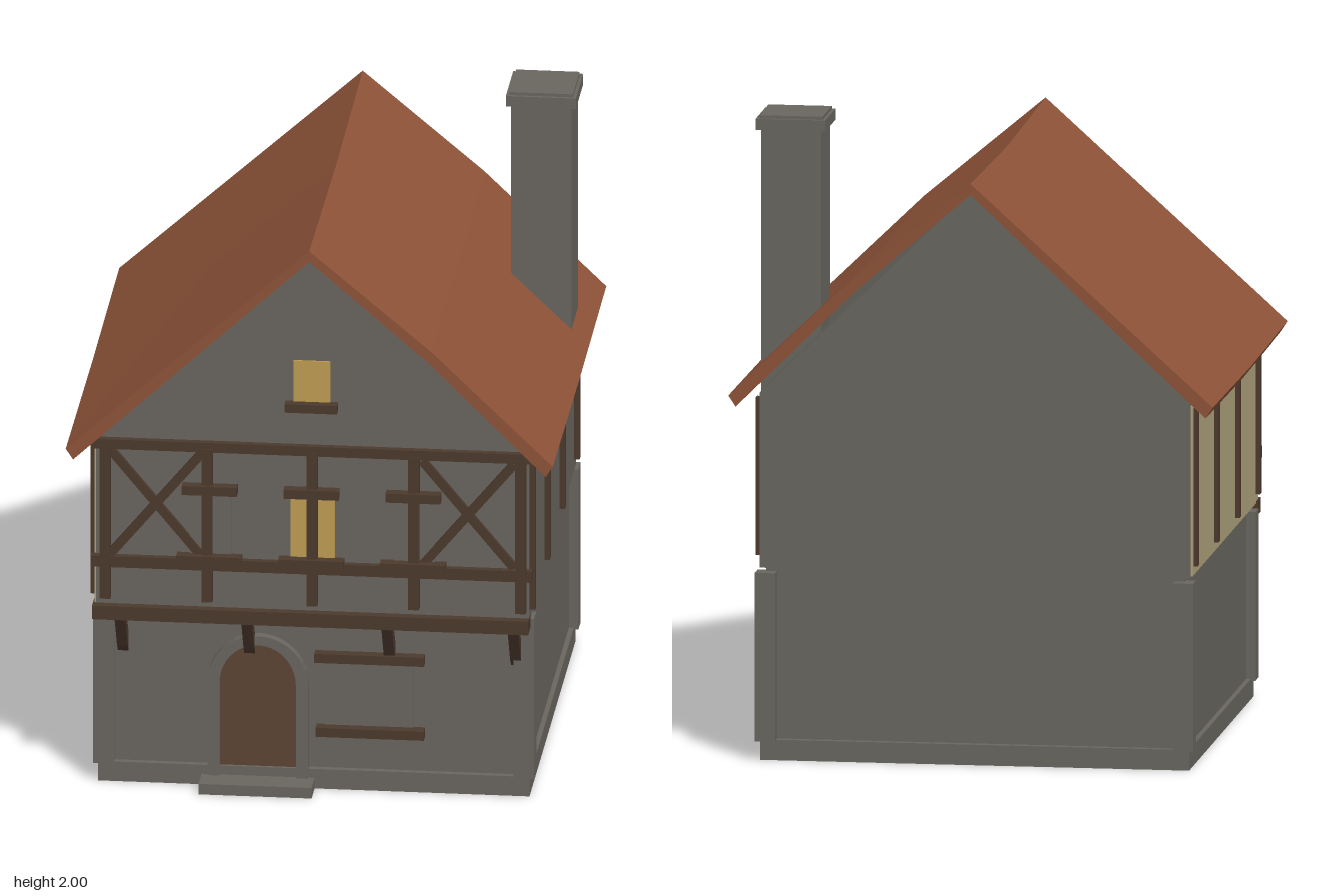
import * as THREE from 'three';

const mat = (name, color) => {
  const m = new THREE.MeshStandardMaterial({ color });
  m.name = name;
  return m;
};

export function createModel() {
  const house = new THREE.Group();
  house.name = 'house';
  const stone = mat('stone', 0x69665f);
  const timber = mat('timber', 0x4c392d);
  const doorWood = mat('doorWood', 0x5c4534);
  const tile = mat('roofTile', 0x8e5338);
  const plaster = mat('plaster', 0xaea17c);
  const glow = mat('windowLight', 0xc09c52);

  const add = (name, geo, material) => {
    const m = new THREE.Mesh(geo, material);
    m.name = name;
    house.add(m);
    return m;
  };
  // Box given by its min and max on each axis
  const box = (name, material, x0, x1, y0, y1, z0, z1) => {
    const m = add(name, new THREE.BoxGeometry(x1 - x0, y1 - y0, z1 - z0), material);
    m.position.set((x0 + x1) / 2, (y0 + y1) / 2, (z0 + z1) / 2);
    return m;
  };
  const extrude = (shape, depth) =>
    new THREE.ExtrudeGeometry(shape, { depth, bevelEnabled: false, curveSegments: 10 });

  // Ground floor: plinth, walls and corner stones
  box('plinth', stone, -0.68, 0.675, 0, 0.065, -0.73, 0.64);
  box('groundFloor', stone, -0.665, 0.66, 0.065, 0.61, -0.705, 0.62);
  for (const x of [-0.695, 0.625])
    for (const z of [-0.745, 0.58])
      box('cornerStone', stone, x, x + 0.065, 0.06, 0.595, z, z + 0.065);

  // Overhanging upper floor with its gables
  const gable = new THREE.Shape([
    [-0.68, 0.605], [0.68, 0.605], [0.68, 1.16], [0, 1.825], [-0.68, 1.16],
  ].map(p => new THREE.Vector2(...p)));
  add('upperFloor', extrude(gable, 1.405), stone).position.z = -0.705;
  box('plasterPanel', plaster, -0.686, -0.68, 0.61, 1.15, -0.70, 0.695);

  // Roof slopes: slightly sagging along the ridge, the right one bowed
  for (const s of [-1, 1]) {
    const g = new THREE.BoxGeometry(1, 1, 1.6, 2, 1, 2);
    g.translate(s * 0.5, 0, 0);
    const p = g.attributes.position;
    for (let i = 0; i < p.count; i++) {
      const u = Math.abs(p.getX(i)), low = p.getY(i) < 0, z = p.getZ(i);
      const bow = s > 0 ? 0.024 : 0;
      let y = 1.855 - 0.69 * u + bow * (1 - Math.abs(2 * u - 1));
      y -= (0.015 - 0.007 * u) * (1 - Math.abs(z) / 0.8);
      p.setXY(i, s * u * (low ? 0.742 : 0.765), low ? y - 0.035 : y);
    }
    const flat = g.toNonIndexed();
    flat.computeVertexNormals();
    add(s < 0 ? 'roofRight' : 'roofLeft', flat, tile);
  }

  // Chimney
  box('chimney', stone, 0.52, 0.71, 1.09, 1.96, -0.475, -0.285);
  box('chimneyCap', stone, 0.505, 0.725, 1.955, 1.99, -0.49, -0.27);
  box('chimneyTop', stone, 0.515, 0.715, 1.99, 2, -0.48, -0.28);

  // Side posts
  for (const x of [-0.70, 0.675])
    for (const z of [-0.665, -0.225, 0.225, 0.665])
      box('sidePost', timber, x, x + 0.022, 0.64, 1.14, z - 0.016, z + 0.016);

  // Front timber frame
  box('sillBeam', timber, -0.69, 0.68, 0.572, 0.617, 0.66, 0.73);
  box('middleRail', timber, -0.695, 0.69, 0.745, 0.782, 0.695, 0.722);
  box('topRail', timber, -0.695, 0.69, 1.14, 1.172, 0.695, 0.722);
  for (const x of [-0.65, -0.33, 0, 0.32, 0.655])
    box('frontPost', timber, x - 0.017, x + 0.017, 0.64, 1.15, 0.695, 0.725);
  for (const x of [-0.49, 0.49])
    for (const d of [-1, 1]) {
      const brace = add('crossBrace', new THREE.BoxGeometry(0.45, 0.028, 0.018), timber);
      brace.position.set(x, 0.96, 0.705);
      brace.rotation.z = d * Math.atan2(0.35, 0.29);
    }
  for (const x of [-0.32, 0, 0.32]) {
    box('windowHead', timber, x - 0.088, x + 0.085, 1.0, 1.03, 0.695, 0.735);
    box('windowSill', timber, x - 0.105, x + 0.1, 0.768, 0.797, 0.695, 0.738);
    if (x) box('windowPanel', stone, x - 0.065, x + 0.065, 0.795, 1.0, 0.698, 0.706);
  }
  box('litWindow', glow, -0.068, 0.07, 0.795, 1.0, 0.698, 0.706);
  box('gableWindow', glow, -0.06, 0.056, 1.31, 1.452, 0.698, 0.706);
  box('gableSill', timber, -0.085, 0.08, 1.288, 1.316, 0.695, 0.735);

  // Brackets under the overhang
  const bracket = new THREE.Shape([
    [0.62, 0.43], [0.65, 0.46], [0.72, 0.572], [0.68, 0.572], [0.62, 0.49],
  ].map(p => new THREE.Vector2(...p)));
  for (const x of [-0.603, -0.205, 0.235, 0.632]) {
    const m = add('bracket', extrude(bracket, 0.034), timber);
    m.rotation.y = -Math.PI / 2;
    m.position.x = x + 0.017;
  }

  // Ground floor window
  box('lowerWindowPanel', stone, 0.03, 0.31, 0.205, 0.43, 0.618, 0.626);
  box('lowerWindowHead', timber, 0, 0.345, 0.425, 0.455, 0.615, 0.655);
  box('lowerWindowSill', timber, 0.005, 0.345, 0.18, 0.21, 0.615, 0.66);

  // Arched door, its stone surround and the step
  const arch = (w, y0, spring, top, P) => {
    const a = new P();
    a.moveTo(-w, y0);
    a.lineTo(w, y0);
    a.lineTo(w, spring);
    a.absellipse(0, spring, w, top - spring, 0, Math.PI, false);
    a.lineTo(-w, y0);
    return a;
  };
  const surround = arch(0.158, 0.03, 0.345, 0.505, THREE.Shape);
  surround.holes.push(arch(0.12, 0.031, 0.345, 0.475, THREE.Path));
  add('doorSurround', extrude(surround, 0.04), stone).position.set(-0.178, 0, 0.61);
  add('door', extrude(arch(0.121, 0.03, 0.345, 0.476, THREE.Shape), 0.02), doorWood)
    .position.set(-0.178, 0, 0.61);
  box('doorStep', stone, -0.355, 0, 0, 0.035, 0.62, 0.73);

  return house;
}
